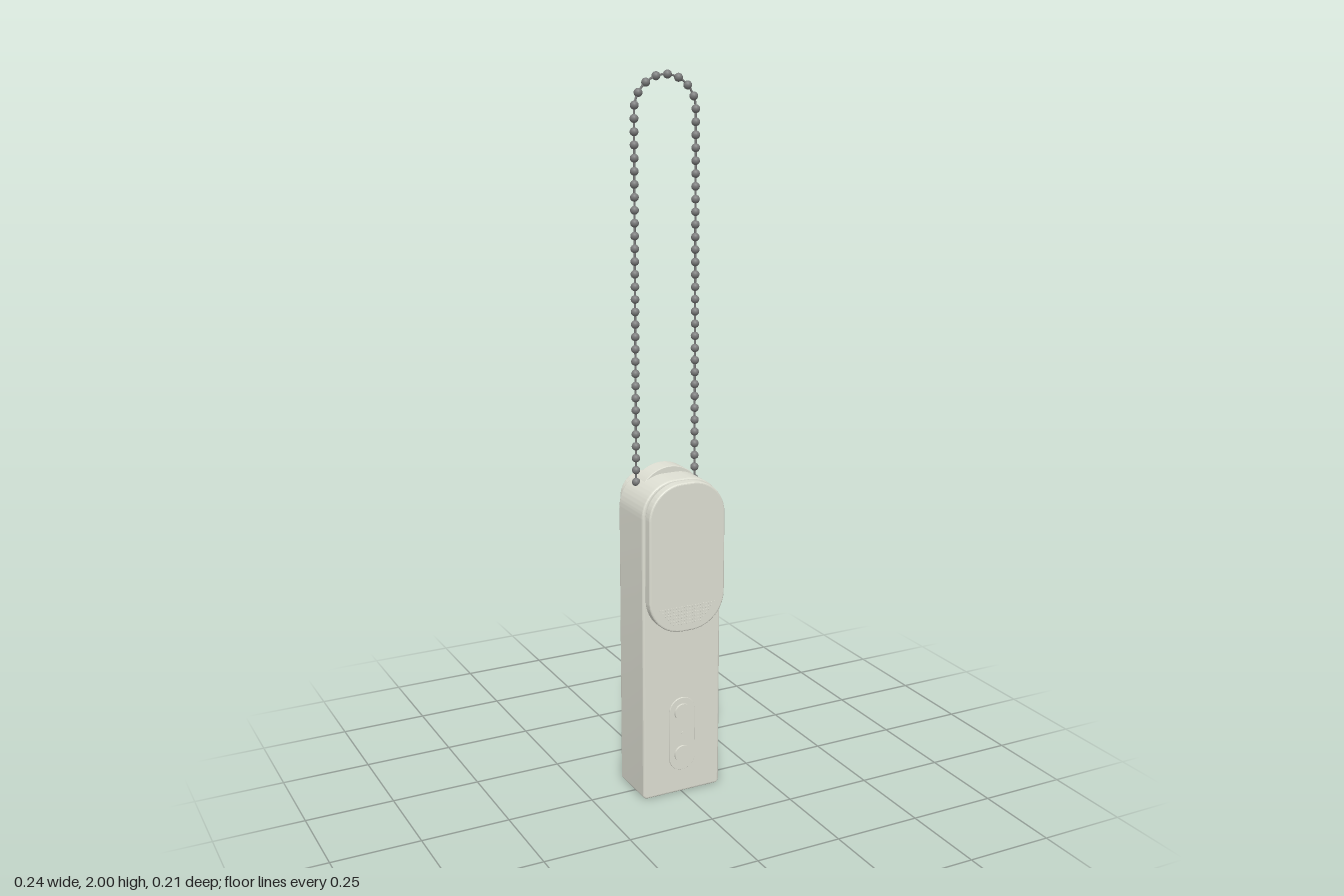
import * as THREE from 'three';
import { toCreasedNormals } from 'three/addons/utils/BufferGeometryUtils.js';

const shell = new THREE.MeshStandardMaterial({ name: 'warm grey shell', color: 0xdedfd3 });
const metal = new THREE.MeshStandardMaterial({ name: 'chain metal', color: 0x7c7d7d });

// Outline with separate corner radii at the top and bottom
function outline(hw, y0, y1, rTop, rBottom) {
  const s = new THREE.Shape();
  s.moveTo(-hw + rBottom, y0);
  s.lineTo(hw - rBottom, y0);
  s.absarc(hw - rBottom, y0 + rBottom, rBottom, -Math.PI / 2, 0, false);
  s.lineTo(hw, y1 - rTop);
  s.absarc(hw - rTop, y1 - rTop, rTop, 0, Math.PI / 2, false);
  s.lineTo(-hw + rTop, y1);
  s.absarc(-hw + rTop, y1 - rTop, rTop, Math.PI / 2, Math.PI, false);
  s.lineTo(-hw, y0 + rBottom);
  s.absarc(-hw + rBottom, y0 + rBottom, rBottom, Math.PI, Math.PI * 1.5, false);
  return s;
}

// Bevelled slab whose outer limits are exactly the given sizes; faces stay flat
function slab(name, hw, y0, y1, z0, z1, rTop, rBottom, bevel) {
  const shape = outline(hw - bevel, y0 + bevel, y1 - bevel, rTop - bevel, rBottom - bevel);
  let geo = new THREE.ExtrudeGeometry(shape, {
    depth: z1 - z0 - 2 * bevel, curveSegments: 20,
    bevelEnabled: bevel > 0, bevelSize: bevel, bevelThickness: bevel, bevelSegments: 3,
  });
  geo.translate(0, 0, z0 + bevel);
  geo = toCreasedNormals(geo, 0.2);
  const mesh = new THREE.Mesh(geo, shell);
  mesh.name = name;
  return mesh;
}

// Short cylinder facing the front
function disc(name, r, x, y, z0, z1, sides) {
  const geo = new THREE.CylinderGeometry(r, r, z1 - z0, sides);
  geo.rotateX(Math.PI / 2);
  const mesh = new THREE.Mesh(geo, shell);
  mesh.position.set(x, y, (z0 + z1) / 2);
  mesh.name = name;
  return mesh;
}

function createGrille() {
  const grille = new THREE.Group();
  grille.name = 'speakerGrille';
  for (let row = 0; row < 6; row++) {
    const n = 10 - row;
    for (let i = -n; i <= n; i++) {
      grille.add(disc('grilleDot', 0.003, i * 0.0083, 0.572 - row * 0.0095, 0.098, 0.102, 8));
    }
  }
  return grille;
}

function createButtons() {
  const group = new THREE.Group();
  group.name = 'buttonPanel';
  group.add(slab('buttonPad', 0.04, 0.07, 0.29, 0.064, 0.071, 0.04, 0.04, 0.001));
  for (const y of [0.12, 0.247]) group.add(disc('button', 0.025, 0, y, 0.065, 0.077, 48));
  group.add(disc('indicator', 0.003, 0, 0.183, 0.067, 0.073, 12));
  return group;
}

// Ball chain: two straight runs joined by a half circle
function createChain() {
  const chain = new THREE.Group();
  chain.name = 'ballChain';
  const R = 0.09, yArc = 1.898, z = -0.033;
  const path = new THREE.CurvePath();
  path.add(new THREE.LineCurve3(new THREE.Vector3(-R, 0.905, z), new THREE.Vector3(-R, yArc, z)));
  const arc = [];
  for (let i = 0; i <= 16; i++) {
    const a = Math.PI * (1 - i / 16);
    arc.push(new THREE.Vector3(R * Math.cos(a), yArc + R * Math.sin(a), z));
  }
  path.add(new THREE.CatmullRomCurve3(arc));
  path.add(new THREE.LineCurve3(new THREE.Vector3(R, yArc, z), new THREE.Vector3(R, 0.892, z)));

  const cord = new THREE.Mesh(new THREE.TubeGeometry(path, 140, 0.003, 6), metal);
  cord.name = 'chainCord';
  chain.add(cord);
  const ball = new THREE.SphereGeometry(0.0115, 16, 12);
  const count = 68;
  for (let i = 0; i <= count; i++) {
    const bead = new THREE.Mesh(ball, metal);
    bead.name = 'chainBead';
    bead.position.copy(path.getPointAt(i / count));
    chain.add(bead);
  }
  return chain;
}

export function createModel() {
  const model = new THREE.Group();
  model.name = 'pocketDevice';

  // Main case with the arched top, and the lug that holds the chain
  model.add(slab('body', 0.12, 0, 0.927, -0.082, 0.067, 0.1, 0.012, 0.006));
  model.add(slab('chainLug', 0.1, 0.7, 0.945, -0.061, -0.006, 0.1, 0.02, 0.002));

  // Back cover on a narrower spacer
  model.add(slab('backSpacer', 0.097, 0.03, 0.905, -0.09, -0.08, 0.06, 0.04, 0));
  model.add(slab('backCover', 0.105, 0.018, 0.915, -0.106, -0.086, 0.068, 0.045, 0.004));

  // Front cover on a narrower spacer
  model.add(slab('frontSpacer', 0.106, 0.51, 0.916, 0.06, 0.073, 0.092, 0.092, 0));
  model.add(slab('frontCover', 0.115, 0.5, 0.925, 0.07, 0.1, 0.1, 0.1, 0.005));

  model.add(createGrille(), createButtons(), createChain());
  return model;
}
